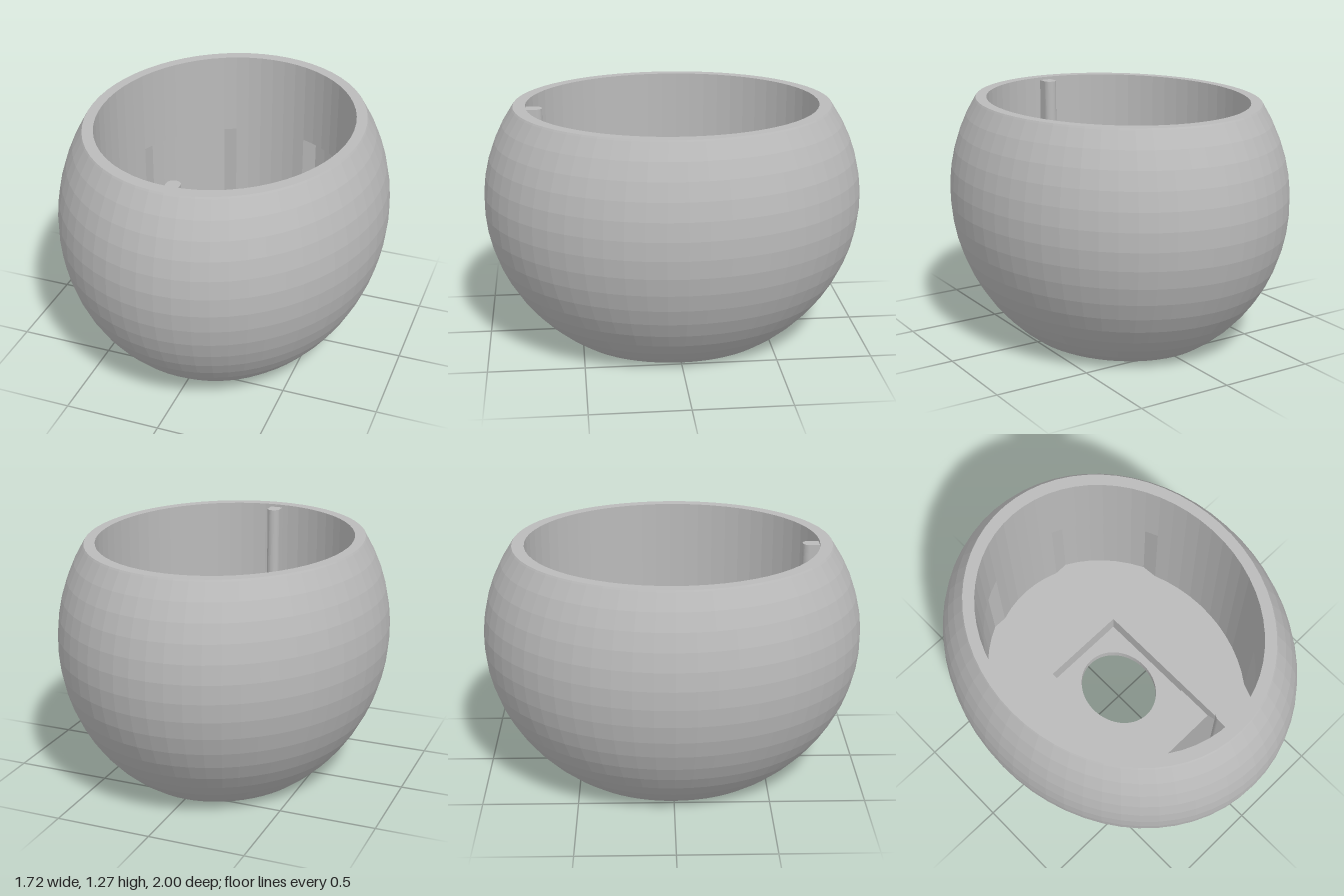
import * as THREE from 'three';

const SQUASH = 0.86;            // width of every ellipse relative to its depth
const HEIGHT = 1.27, MID = 0.76, RISE = 0.92;
const FLOOR = 0.28, LEDGE = 0.82, PLATE = 0.16;

const grey = new THREE.MeshStandardMaterial({ color: 0xbababa, flatShading: true });
grey.name = 'light grey';

// Elliptical outline; radius may vary with the angle measured from the front
function ellipse(radius, Type = THREE.Path, n = 60) {
  const pts = [];
  for (let i = 0; i < n; i++) {
    const a = (i / n) * Math.PI * 2;
    const r = typeof radius === 'function' ? radius(a) : radius;
    pts.push(new THREE.Vector2(Math.sin(a) * r * SQUASH, -Math.cos(a) * r));
  }
  return new Type(pts);
}

// Rectangle in plan between z0 and z1
function rect(halfX, z0, z1, Type) {
  return new Type([[-halfX, -z1], [halfX, -z1], [halfX, -z0], [-halfX, -z0]]
    .map(([x, y]) => new THREE.Vector2(x, y)));
}

// Extrude a plan shape upwards from y0 to y1
function slab(shape, y0, y1) {
  const g = new THREE.ExtrudeGeometry(shape, { depth: y1 - y0, bevelEnabled: false, curveSegments: 10 });
  return g.rotateX(-Math.PI / 2).translate(0, y0, 0);
}

export function createModel() {
  const group = new THREE.Group();
  const add = (name, geometry) => {
    const mesh = new THREE.Mesh(geometry, grey);
    mesh.name = name;
    group.add(mesh);
  };

  // Bowl shell: base plate with hole, foot recess, outer curve, rim, upper inner wall
  const outerRadius = (y) => Math.sqrt(1 - ((y - MID) / RISE) ** 2);
  const profile = [[0.42, PLATE], [0.23, PLATE], [0.23, 0.11], [0.562, 0.11], [0.562, 0]];
  for (let deg = -51; deg <= 33; deg += 6) {
    const a = THREE.MathUtils.degToRad(deg);
    profile.push([Math.cos(a), MID + RISE * Math.sin(a)]);
  }
  profile.push([outerRadius(HEIGHT), HEIGHT], [0.768, HEIGHT], [0.768, LEDGE], [0.84, LEDGE]);
  const shell = new THREE.LatheGeometry(profile.map(([r, y]) => new THREE.Vector2(r, y)), 60);
  add('bowlShell', shell.scale(SQUASH, 1, 1));

  // Lower inner wall, with shallow recesses at the front and the two back corners
  const recessed = (a) => {
    const deg = THREE.MathUtils.radToDeg(Math.min(a, Math.PI * 2 - a));
    return deg < 45 || (deg > 117 && deg < 158) ? 0.8 : 0.768;
  };
  const wall = ellipse(0.835, THREE.Shape);
  wall.holes.push(ellipse(recessed));
  add('lowerInnerWall', slab(wall, FLOOR, LEDGE));

  // Floor with a rectangular pocket
  const floor = ellipse(0.83, THREE.Shape);
  floor.holes.push(rect(0.24, -0.29, 0.61, THREE.Path));
  add('floor', slab(floor, FLOOR - 0.02, FLOOR));

  // Pocket side walls
  const frame = rect(0.27, -0.32, 0.64, THREE.Shape);
  frame.holes.push(rect(0.24, -0.29, 0.61, THREE.Path));
  add('pocketWalls', slab(frame, PLATE - 0.02, FLOOR - 0.01));

  // Low ledge and ramp at the front of the pocket
  const ramp = new THREE.Shape([[0.27, 0.14], [0.61, 0.14], [0.61, 0.28], [0.48, 0.18], [0.27, 0.18]]
    .map(([z, y]) => new THREE.Vector2(z, y)));
  const rampGeometry = new THREE.ExtrudeGeometry(ramp, { depth: 0.48, bevelEnabled: false });
  add('pocketRamp', rampGeometry.rotateY(-Math.PI / 2).translate(0.24, 0, 0));

  // Round-nosed locating rib on the front inner wall
  const rib = new THREE.Shape();
  rib.moveTo(-0.035, -0.78);
  rib.lineTo(0.035, -0.78);
  rib.lineTo(0.035, -0.715);
  rib.absarc(0, -0.715, 0.035, 0, Math.PI, false);
  add('locatingRib', slab(rib, LEDGE, HEIGHT - 0.015));

  return group;
}
